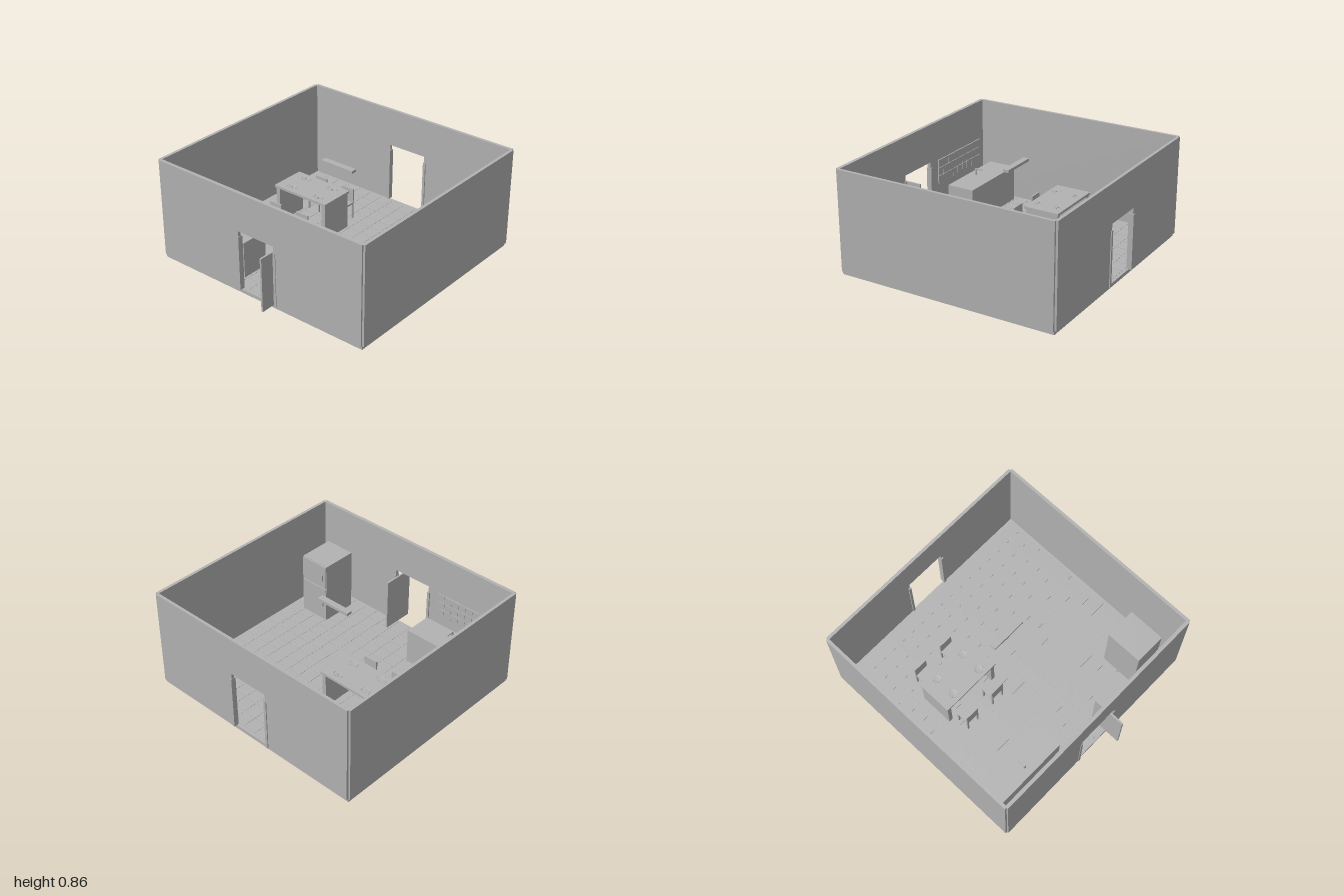
import * as THREE from 'three';

const grey = new THREE.MeshStandardMaterial({ color: 0xb2b2b2 });
grey.name = 'plain grey';

function add(parent, name, geometry) {
  const mesh = new THREE.Mesh(geometry, grey);
  mesh.name = name;
  parent.add(mesh);
  return mesh;
}

// Box given by its lower and upper limits on each axis
function box(parent, name, x0, x1, y0, y1, z0, z1) {
  const mesh = add(parent, name, new THREE.BoxGeometry(x1 - x0, y1 - y0, z1 - z0));
  mesh.position.set((x0 + x1) / 2, (y0 + y1) / 2, (z0 + z1) / 2);
  return mesh;
}

function group(parent, name) {
  const g = new THREE.Group();
  g.name = name;
  parent.add(g);
  return g;
}

const FLOOR = 0.03;
const WALL_TOP = 0.862;

// End wall with a doorway cut up from its lower edge
function doorWall(parent, name, z0, z1) {
  const s = new THREE.Shape();
  const outline = [[-0.983, FLOOR], [-0.175, FLOOR], [-0.175, 0.54], [0.172, 0.54],
    [0.172, FLOOR], [0.983, FLOOR], [0.983, WALL_TOP], [-0.983, WALL_TOP]];
  s.setFromPoints(outline.map(([x, y]) => new THREE.Vector2(x, y)));
  const wall = add(parent, name, new THREE.ExtrudeGeometry(s, { depth: z1 - z0, bevelEnabled: false }));
  wall.position.z = z0;
}

// Chair whose back is on the side given by dir
function chair(parent, x, z, dir) {
  const c = group(parent, 'chair');
  c.position.set(x, 0, z);
  box(c, 'chairSeat', -0.06, 0.06, 0.165, 0.18, -0.057, 0.057);
  const back = dir * 0.0505;
  box(c, 'chairBack', -0.06, 0.06, 0.18, 0.3, back - 0.0065, back + 0.0065);
  for (const sx of [-1, 1]) for (const sz of [-1, 1])
    box(c, 'chairLeg', sx * 0.053 - 0.007, sx * 0.053 + 0.007, FLOOR, 0.165,
      sz * 0.05 - 0.007, sz * 0.05 + 0.007);
}

// Plate with a raised rim, a bowl and cutlery
function placeSetting(parent, x, z) {
  const p = group(parent, 'placeSetting');
  p.position.set(x, 0.365, z);
  const profile = [[0, 0], [0.02, 0], [0.035, 0.004], [0.034, 0.005], [0.019, 0.002], [0, 0.002]];
  add(p, 'plate', new THREE.LatheGeometry(profile.map(([r, y]) => new THREE.Vector2(r, y)), 24));
  add(p, 'bowl', new THREE.CylinderGeometry(0.012, 0.008, 0.006, 16)).position.y = 0.005;
  for (const s of [-1, 1]) box(p, 'cutlery', s * 0.042 - 0.002, s * 0.042 + 0.002, 0, 0.002, -0.018, 0.018);
}

export function createModel() {
  const room = new THREE.Group();
  room.name = 'kitchenRoom';

  // Floor slab with shallow tiles
  box(room, 'floorSlab', -0.985, 0.985, 0, FLOOR, -0.975, 0.873);
  const tiles = group(room, 'floorTiles');
  const pitch = 0.12, gap = 0.003;
  for (let i = 0; i < 16; i++) for (let j = 0; j < 15; j++) {
    const x = -0.96 + i * pitch, z = -0.95 + j * pitch;
    box(tiles, 'floorTile', x + gap, x + pitch - gap, FLOOR, FLOOR + 0.002, z + gap, z + pitch - gap);
  }

  // Walls
  for (const s of [-1, 1])
    box(room, 'sideWall', s * 0.9875 - 0.0125, s * 0.9875 + 0.0125, FLOOR, WALL_TOP, -0.975, 0.872);
  doorWall(room, 'frontWall', 0.856, 0.885);
  doorWall(room, 'backWall', -0.992, -0.967);

  // Door jambs on both doorways
  for (const [z0, z1] of [[0.845, 0.89], [-1, -0.957]])
    for (const s of [-1, 1])
      box(room, 'doorJamb', s * 0.18 - 0.011, s * 0.18 + 0.011, FLOOR, 0.49, z0, z1);

  // Open front door
  box(room, 'frontDoor', 0.145, 0.16, FLOOR, 0.485, 0.725, 1);

  // Dining table with panel ends
  const table = group(room, 'diningTable');
  box(table, 'tableTop', -0.67, -0.135, 0.345, 0.365, -0.37, -0.065);
  for (const x of [-0.66, -0.18])
    box(table, 'tableEnd', x, x + 0.035, FLOOR, 0.345, -0.36, -0.075);
  for (const x of [-0.54, -0.26]) {
    chair(room, x, -0.455, -1);
    chair(room, x, 0.017, 1);
    for (const z of [-0.305, -0.13]) placeSetting(table, x, z);
  }

  // Hanging lamp bar
  box(room, 'lampBar', -0.155, 0.15, 0.745, 0.768, -0.095, -0.045);

  // Counter with tap
  const counter = group(room, 'counter');
  box(counter, 'counterBody', -0.917, -0.262, FLOOR, 0.335, 0.503, 0.742);
  box(counter, 'tapPost', -0.585, -0.573, 0.335, 0.385, 0.665, 0.677);
  box(counter, 'tapSpout', -0.585, -0.573, 0.385, 0.395, 0.61, 0.677);

  // Wall tiles behind the counter
  const splash = group(room, 'wallTiles');
  for (let i = 0; i < 9; i++) for (let j = 0; j < 3; j++) {
    const x = -0.91 + i * 0.07, y = 0.318 + j * 0.07;
    box(splash, 'wallTile', x + 0.001, x + 0.069, y + 0.002, y + 0.068, 0.846, 0.856);
  }

  // Fridge with two doors facing the back of the room
  const fridge = group(room, 'fridge');
  box(fridge, 'fridgeBody', 0.59, 0.855, FLOOR, 0.565, 0.464, 0.765);
  for (const [y0, y1, h0, h1] of [[0.035, 0.34, 0.165, 0.235], [0.35, 0.56, 0.42, 0.48]]) {
    box(fridge, 'fridgeDoor', 0.592, 0.853, y0, y1, 0.452, 0.464);
    box(fridge, 'fridgeHandle', 0.622, 0.634, h0, h1, 0.441, 0.452);
  }

  return room;
}
